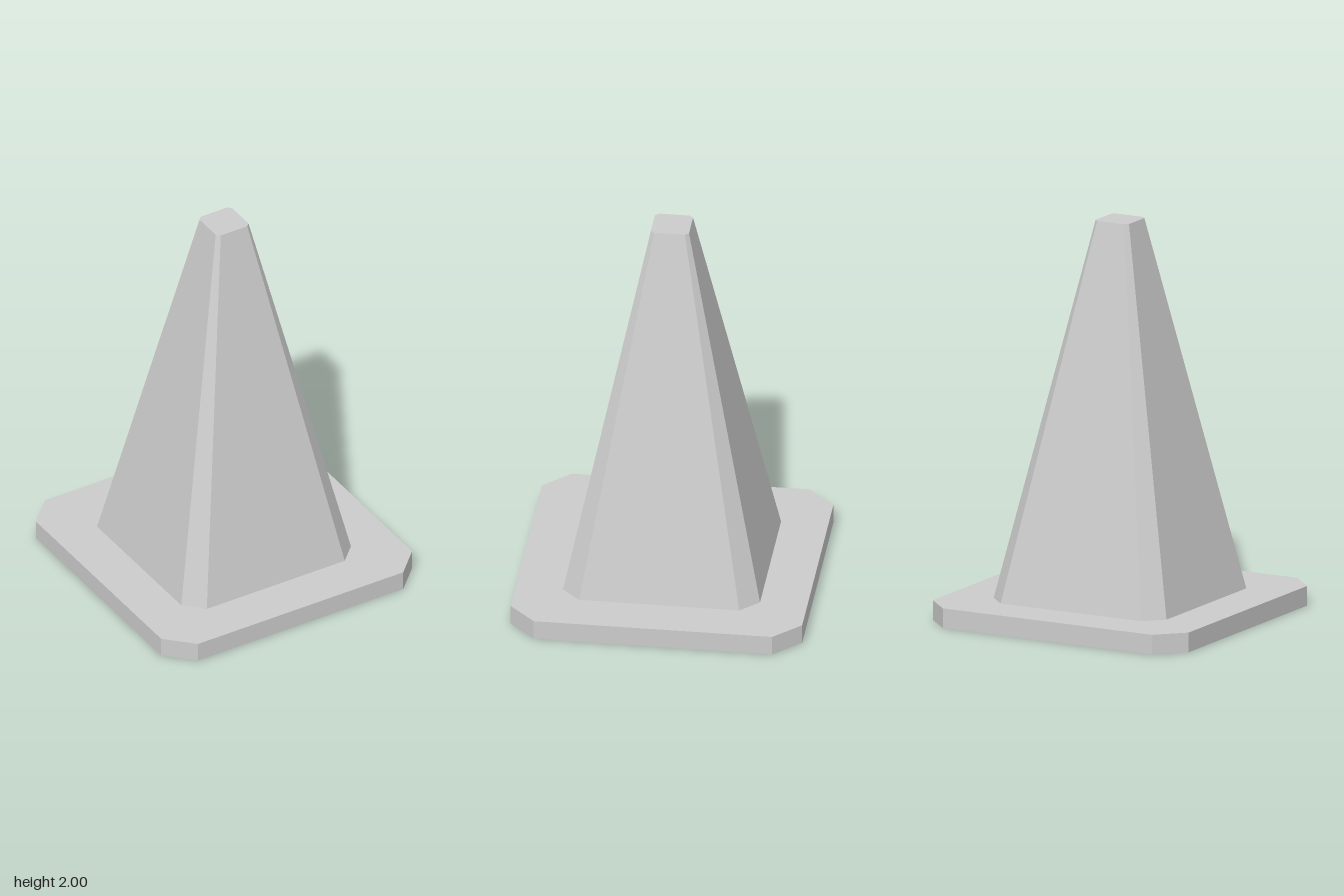
import * as THREE from 'three';

// Square outline with cut corners: h = half width, e = half length of each straight side
function outline(h, e, y) {
  return [[-e, h], [e, h], [h, e], [h, -e], [e, -h], [-e, -h], [-h, -e], [-h, e]]
    .map(([x, z]) => [x, y, z]);
}

// Closed solid between two matching outlines, with hard facets
function loft(bottom, top) {
  const pos = [];
  const tri = (...corners) => corners.forEach((p) => pos.push(...p));
  const n = bottom.length;
  for (let i = 0; i < n; i++) {
    const j = (i + 1) % n;
    tri(bottom[i], bottom[j], top[j]);
    tri(bottom[i], top[j], top[i]);
    if (i > 0 && i < n - 1) {
      tri(top[0], top[i], top[j]);
      tri(bottom[0], bottom[j], bottom[i]);
    }
  }
  const geometry = new THREE.BufferGeometry();
  geometry.setAttribute('position', new THREE.Float32BufferAttribute(pos, 3));
  geometry.computeVertexNormals();
  return geometry;
}

export function createModel() {
  const group = new THREE.Group();
  group.name = 'trafficCone';
  const grey = new THREE.MeshStandardMaterial({ color: 0xcccccc });
  grey.name = 'light grey';

  const add = (name, geometry) => {
    const mesh = new THREE.Mesh(geometry, grey);
    mesh.name = name;
    group.add(mesh);
  };

  // Flat foot plate with cut corners
  add('basePlate', loft(outline(0.728, 0.595, 0), outline(0.728, 0.595, 0.1)));
  // Tapered body with narrow corner facets
  add('coneBody', loft(outline(0.492, 0.4, 0.1), outline(0.095, 0.077, 2)));

  return group;
}
